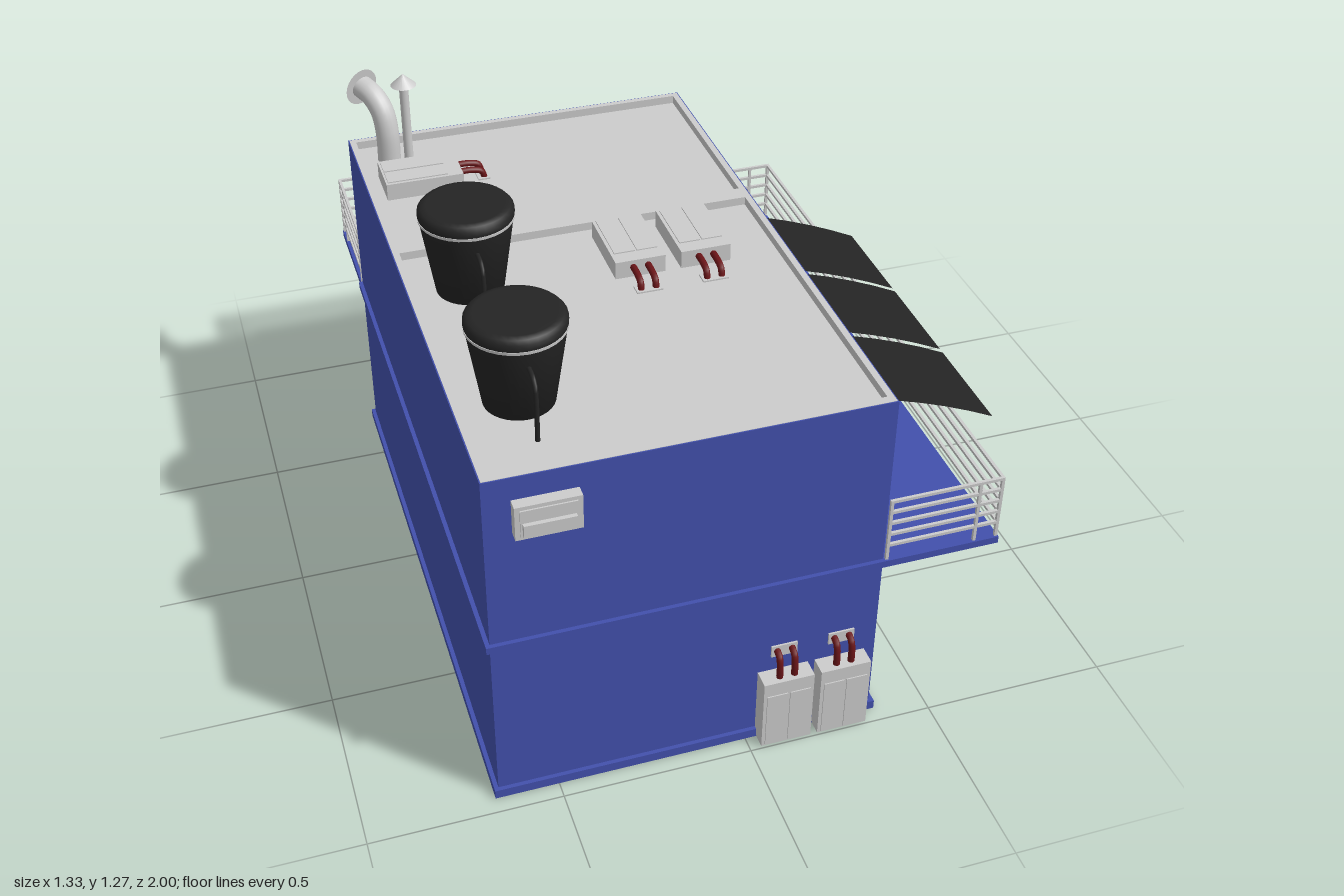
import * as THREE from 'three';
import { mergeGeometries } from 'three/addons/utils/BufferGeometryUtils.js';

const mat = (color) => new THREE.MeshStandardMaterial({ color });
const BLUE = mat(0x4250ac), GREY = mat(0xcccccc), GLASS = mat(0x70aab2), RED = mat(0x6a1518), BLACK = mat(0x242424);
const SHEET = mat(0x242424);
SHEET.side = THREE.DoubleSide;

function add(parent, name, geometry, material, x = 0, y = 0, z = 0) {
  const m = new THREE.Mesh(geometry, material);
  m.name = name;
  m.position.set(x, y, z);
  parent.add(m);
  return m;
}

// box given by its two extreme corners
function block(parent, name, material, x0, x1, y0, y1, z0, z1) {
  return add(parent, name, new THREE.BoxGeometry(x1 - x0, y1 - y0, z1 - z0), material,
    (x0 + x1) / 2, (y0 + y1) / 2, (z0 + z1) / 2);
}

function tube(parent, name, material, pts, r, sides = 10) {
  const curve = new THREE.CatmullRomCurve3(pts.map((p) => new THREE.Vector3(...p)));
  return add(parent, name, new THREE.TubeGeometry(curve, 16, r, sides), material);
}

function group(parent, name, x, y, z, rx = 0, ry = 0) {
  const g = new THREE.Group();
  g.name = name;
  g.position.set(x, y, z);
  g.rotation.set(rx, ry, 0, 'YXZ');
  parent.add(g);
  return g;
}

// rectangular ring (outer rectangle minus holes) lying flat, each rectangle [x0, x1, z0, z1]
function flatRing(outer, holes, height) {
  const trace = (p, [x0, x1, z0, z1]) =>
    p.moveTo(x0, -z0).lineTo(x0, -z1).lineTo(x1, -z1).lineTo(x1, -z0).closePath();
  const s = new THREE.Shape();
  trace(s, outer);
  for (const h of holes) {
    const p = new THREE.Path();
    trace(p, h);
    s.holes.push(p);
  }
  return new THREE.ExtrudeGeometry(s, { depth: height, bevelEnabled: false }).rotateX(-Math.PI / 2);
}

// four bars around a w x h opening, standing on y = 0 and facing +z
function frame(parent, name, w, h, t, d) {
  block(parent, name, GREY, -w / 2, -w / 2 + t, 0, h, 0, d);
  block(parent, name, GREY, w / 2 - t, w / 2, 0, h, 0, d);
  block(parent, name, GREY, -w / 2 + t, w / 2 - t, h - t, h, 0, d);
}

function door(parent, x, y, z, ry) {
  const g = group(parent, 'door', x, y, z, 0, ry);
  frame(g, 'doorFrame', 0.28, 0.395, 0.018, 0.014);
  block(g, 'doorLeaf', GREY, -0.122, 0.122, 0, 0.377, 0, 0.005);
  block(g, 'doorGlass', GLASS, -0.1, 0.1, 0.145, 0.352, 0, 0.008);
  add(g, 'doorKnob', new THREE.SphereGeometry(0.011, 12, 8), GREY, 0.09, 0.125, 0.016);
}

function windowUnit(parent, x, y, z, ry) {
  const g = group(parent, 'window', x, y, z, 0, ry);
  frame(g, 'windowFrame', 0.455, 0.225, 0.012, 0.012);
  block(g, 'windowSill', GREY, -0.2275, 0.2275, 0, 0.012, 0, 0.012);
  block(g, 'windowGlass', GLASS, -0.2155, 0.2155, 0.012, 0.213, 0, 0.006);
}

// air conditioner with its back on the local z = 0 plane
function airConditioner(parent, x, y, z, rx, ry) {
  const g = group(parent, 'airConditioner', x, y, z, rx, ry);
  block(g, 'unitCase', GREY, -0.068, 0.068, 0, 0.217, 0, 0.05);
  for (const s of [-1, 1]) {
    block(g, 'unitPanel', GREY, s * 0.031 - 0.028, s * 0.031 + 0.028, 0.006, 0.175, 0.05, 0.053);
    tube(g, 'unitPipe', RED, [[s * 0.02, 0.21, 0.03], [s * 0.02, 0.25, 0.03], [s * 0.02, 0.278, 0.022],
      [s * 0.02, 0.286, 0]], 0.009);
  }
  block(g, 'pipePlate', GREY, -0.035, 0.035, 0.265, 0.3, 0, 0.005);
}

// small slots in rows across a w x h panel
function slots(w, h, rows, cols) {
  const list = [];
  for (let r = 0; r < rows; r++) {
    for (let c = 0; c < cols; c++) {
      list.push(new THREE.BoxGeometry(w / cols * 0.6, 0.003, 0.002)
        .translate(((c + 0.5) / cols - 0.5) * w, ((r + 0.5) / rows) * h, 0));
    }
  }
  return mergeGeometries(list);
}

// railing along three straight runs, corners given as [x, z]
function railing(parent, corners) {
  const g = group(parent, 'railing', 0, 0, 0);
  const post = (x, z) => block(g, 'railPost', GREY, x - 0.004, x + 0.004, 0.52, 0.708, z - 0.004, z + 0.004);
  corners.forEach(([x, z]) => post(x, z));
  for (let i = 0; i < 3; i++) {
    const [ax, az] = corners[i], [bx, bz] = corners[i + 1];
    for (const y of [0.565, 0.6, 0.635, 0.67, 0.704]) {
      block(g, 'rail', GREY, Math.min(ax, bx) - 0.004, Math.max(ax, bx) + 0.004, y - 0.004, y + 0.004,
        Math.min(az, bz) - 0.004, Math.max(az, bz) + 0.004);
    }
  }
  // extra posts near the two outer corners
  for (const [a, b] of [[1, 0], [2, 3]]) {
    const [cx, cz] = corners[a], [ex, ez] = corners[b];
    post(cx + Math.sign(ex - cx) * 0.06, cz + Math.sign(ez - cz) * 0.06);
  }
}

function waterTank(parent, x, z) {
  const g = group(parent, 'waterTank', x, 0.986, z);
  const profile = [[0, 0], [0.088, 0], [0.12, 0.21], [0.123, 0.222], [0.122, 0.236], [0.114, 0.245], [0.1, 0.249], [0, 0.25]];
  add(g, 'tankBody', new THREE.LatheGeometry(profile.map((p) => new THREE.Vector2(...p)), 32), BLACK);
  add(g, 'tankBand', new THREE.CylinderGeometry(0.1235, 0.1225, 0.008, 32, 1), GREY, 0, 0.214, 0);
  tube(g, 'tankPipe', BLACK, [[0, 0.165, 0.1], [0, 0.163, 0.145], [0, 0.15, 0.164], [0, 0.12, 0.17], [0, 0, 0.17]], 0.006);
}

export function createModel() {
  const root = new THREE.Group();
  const X0 = -0.655, X1 = 0.35, Z0 = -0.685, Z1 = 0.945, T = 0.018;

  // hollow ground floor, open underneath, with the garage opening in its side
  const house = group(root, 'house', 0, 0, 0);
  block(house, 'frontWall', BLUE, X0, X1, 0, 0.5, Z1 - T, Z1);
  block(house, 'backWall', BLUE, X0, X1, 0, 0.5, Z0, Z0 + T);
  block(house, 'rightWall', BLUE, X0, X0 + T, 0, 0.5, Z0 + T, Z1 - T);
  block(house, 'leftWall', BLUE, X1 - T, X1, 0, 0.5, 0.5, Z1 - T);
  block(house, 'leftWall', BLUE, X1 - T, X1, 0, 0.5, Z0 + T, 0.02);
  block(house, 'garageLintel', BLUE, X1 - T, X1, 0.38, 0.5, 0.02, 0.5);
  block(house, 'partition', BLUE, X0 + T, X1 - T, 0, 0.5, -0.075, -0.055);

  // upper floor, roof and parapet
  block(house, 'upperFloor', BLUE, X0, X1, 0.5, 0.985, Z0, Z1);
  block(house, 'roofFloor', GREY, X0 + 0.01, X1 - 0.01, 0.98, 0.987, Z0 + 0.01, Z1 - 0.01);
  const inner = [X0 + 0.003, X1 - 0.003, Z0 + 0.003, Z1 - 0.003];
  add(house, 'parapetSkin', flatRing([X0, X1, Z0, Z1], [inner], 0.024), BLUE, 0, 0.985, 0);
  add(house, 'parapet', flatRing(inner, [[-0.635, 0.33, -0.665, -0.088], [-0.635, 0.33, -0.038, 0.92]], 0.025),
    GREY, 0, 0.985, 0);

  // base trim broken at the doors, and the floor band with both balconies
  const E = 0.011;
  block(root, 'baseTrim', BLUE, X0 - E, X1 + E, 0, 0.026, Z1, Z1 + E);
  block(root, 'baseTrim', BLUE, X0 - E, X0, 0, 0.026, Z0 - E, Z1);
  for (const [a, b] of [[0.84, Z1], [0.5, 0.56], [Z0 - E, 0.02]]) block(root, 'baseTrim', BLUE, X1, X1 + E, 0, 0.026, a, b);
  for (const [a, b] of [[0.24, X1], [-0.09, -0.035], [X0, -0.57]]) block(root, 'baseTrim', BLUE, a, b, 0, 0.026, Z0 - E, Z0);
  block(root, 'floorBand', BLUE, X0 - E, X1, 0.5, 0.52, Z1, Z1 + E);
  block(root, 'floorBand', BLUE, X0 - E, X0, 0.5, 0.52, Z0, Z1);
  block(root, 'sideBalcony', BLUE, X1, 0.662, 0.5, 0.52, Z0 - 0.005, Z1 + E);
  block(root, 'backBalcony', BLUE, X0 - 0.005, X1 + 0.008, 0.5, 0.52, -1, Z0);
  railing(root, [[0.358, 0.947], [0.656, 0.947], [0.656, -0.683], [0.358, -0.683]]);
  railing(root, [[-0.654, -0.69], [-0.654, -0.994], [0.352, -0.994], [0.352, -0.69]]);

  // doors and windows
  const R = Math.PI / 2;
  for (const y of [0, 0.52]) {
    door(root, X1, y, 0.7, R);
    door(root, 0.1, y, Z0, Math.PI);
  }
  windowUnit(root, X1, 0.67, 0.285, R);
  windowUnit(root, -0.31, 0.67, Z0, Math.PI);

  // raised garage door, hinged inside the opening
  const len = 0.385;
  const garage = group(root, 'garageDoor', 0.31, 0.38, 0.26, -Math.atan2(0.22, 0.315), R);
  block(garage, 'garagePanel', GREY, -0.239, 0.239, -len, 0, -0.004, 0.004);
  for (const y of [0.04, 0.155]) block(garage, 'panelRib', GREY, -0.239, 0.239, -len + y, -len + y + 0.004, 0.004, 0.007);
  add(garage, 'panelSlots', slots(0.46, len - 0.02, 10, 16), GREY, 0, -len + 0.01, -0.0045);

  // closed shutter at the back
  const shutter = group(root, 'backShutter', -0.33, 0, Z0, 0, Math.PI);
  block(shutter, 'shutterPanel', GREY, -0.24, 0.24, 0, 0.38, 0, 0.004);
  add(shutter, 'shutterSlots', slots(0.46, 0.37, 11, 18), mat(0x666666), 0, 0.005, 0.0038);

  // air conditioners on the walls and lying on the roof
  for (const x of [0.098, 0.253]) airConditioner(root, x, 0.003, Z1, 0, 0);
  for (const z of [-0.431, -0.582]) airConditioner(root, X1, 0, z, 0, R);
  for (const x of [-0.052, 0.127]) airConditioner(root, x, 0.986, 0, -R, Math.PI);
  airConditioner(root, -0.605, 0.986, -0.42, -R, -R);

  // wall vent
  block(root, 'ventBox', GREY, -0.587, -0.427, 0.85, 0.945, Z1, 0.975);
  block(root, 'ventPanel', GREY, -0.575, -0.439, 0.86, 0.935, 0.975, 0.979);
  block(root, 'ventFlap', GREY, -0.57, -0.444, 0.865, 0.9, 0.979, 0.99);

  // drain pipes
  const drain = new THREE.CylinderGeometry(0.008, 0.008, 0.5, 12);
  add(root, 'drainPipe', drain, RED, 0.36, 0.25, 0.9);
  add(root, 'drainPipe', drain, RED, 0.31, 0.25, Z0 - 0.01);

  // curved sheet canopies over the side balcony
  for (const z of [0.208, 0.5, 0.793]) {
    const g = new THREE.PlaneGeometry(1, 0.277, 4, 1).rotateX(-R);
    const p = g.attributes.position;
    for (let i = 0; i < p.count; i++) {
      const t = p.getX(i) + 0.5;
      p.setXYZ(i, X1 + 0.26 * t, 1.002 - 0.08 * t - 0.026 * t * t, p.getZ(i));
    }
    g.computeVertexNormals();
    add(root, 'canopySheet', g, SHEET, 0, 0, z);
  }

  // roof tanks and flues
  for (const z of [0.135, 0.637]) waterTank(root, -0.486, z);
  add(root, 'thinFlue', new THREE.CylinderGeometry(0.013, 0.013, 0.255, 16), GREY, -0.506, 1.113, -0.537);
  add(root, 'thinFlueCap', new THREE.ConeGeometry(0.036, 0.034, 20), GREY, -0.506, 1.255, -0.537);
  tube(root, 'bentFlue', GREY, [[-0.555, 0.985, -0.583], [-0.555, 1.08, -0.585], [-0.562, 1.135, -0.6],
    [-0.58, 1.17, -0.632], [-0.602, 1.182, -0.672]], 0.033, 18);
  const cap = add(root, 'bentFlueCap', new THREE.ConeGeometry(0.054, 0.04, 24), GREY, -0.613, 1.183, -0.69);
  cap.quaternion.setFromUnitVectors(new THREE.Vector3(0, 1, 0), new THREE.Vector3(-0.48, 0.12, -0.87).normalize());
  return root;
}
